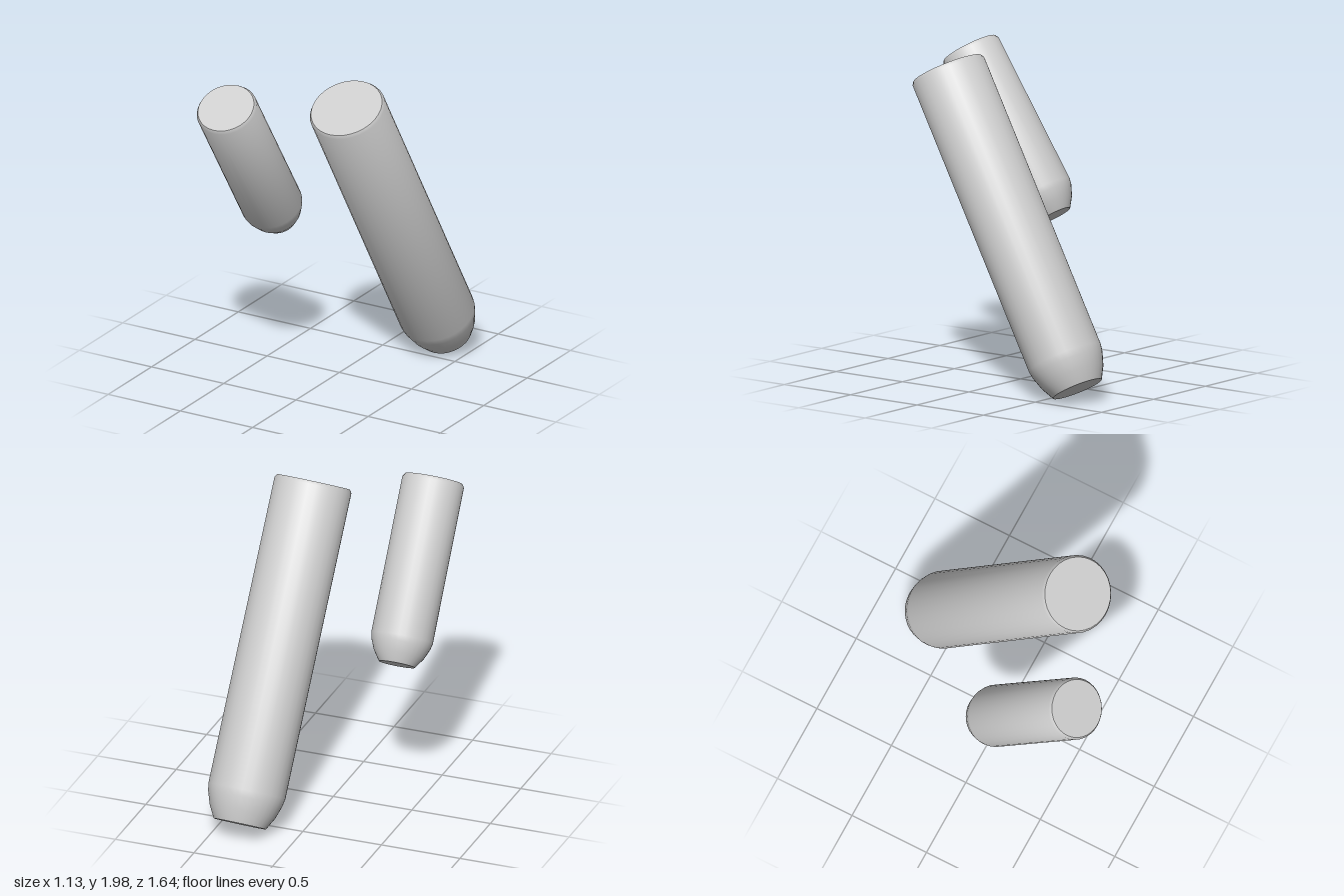
import * as THREE from 'three';
import { toCreasedNormals } from 'three/addons/utils/BufferGeometryUtils.js';

const grey = new THREE.MeshStandardMaterial({ color: 0xcccccc });
grey.name = 'light grey';

// Slanted rod: flat top at `top`, tapered rounded end at `bottom`
function rod(name, top, bottom, radius, endRadius, taper, widen) {
  const a = new THREE.Vector3(...top), b = new THREE.Vector3(...bottom);
  const up = a.clone().sub(b), len = up.length();
  up.normalize();
  const profile = [
    [0, 0],
    [endRadius, 0],
    [endRadius + (radius - endRadius) * 0.55, taper * 0.38],
    [endRadius + (radius - endRadius) * 0.9, taper * 0.78],
    [radius, taper],
    [radius, len - 0.02],
    [radius - 0.012, len],
    [0, len],
  ].map(([r, y]) => new THREE.Vector2(r, y));
  const geo = toCreasedNormals(new THREE.LatheGeometry(profile, 32), 0.6);
  geo.scale(widen, 1, 1); // section slightly wider sideways
  const mesh = new THREE.Mesh(geo, grey);
  mesh.name = name;
  // keep the section's x axis level while the rod leans
  const side = new THREE.Vector3(1, 0, 0).addScaledVector(up, -up.x).normalize();
  const depth = new THREE.Vector3().crossVectors(side, up);
  mesh.quaternion.setFromRotationMatrix(new THREE.Matrix4().makeBasis(side, up, depth));
  mesh.position.copy(b);
  return mesh;
}

export function createModel() {
  const group = new THREE.Group();
  group.name = 'slanted rods';
  group.add(
    rod('longRod', [0.26, 1.88, 0.35], [0.33, 0.08, -0.685], 0.226, 0.153, 0.2, 1.04),
    rod('shortRod', [-0.377, 1.862, 0.68], [-0.385, 0.925, 0.05], 0.181, 0.105, 0.16, 1.035),
  );
  return group;
}
